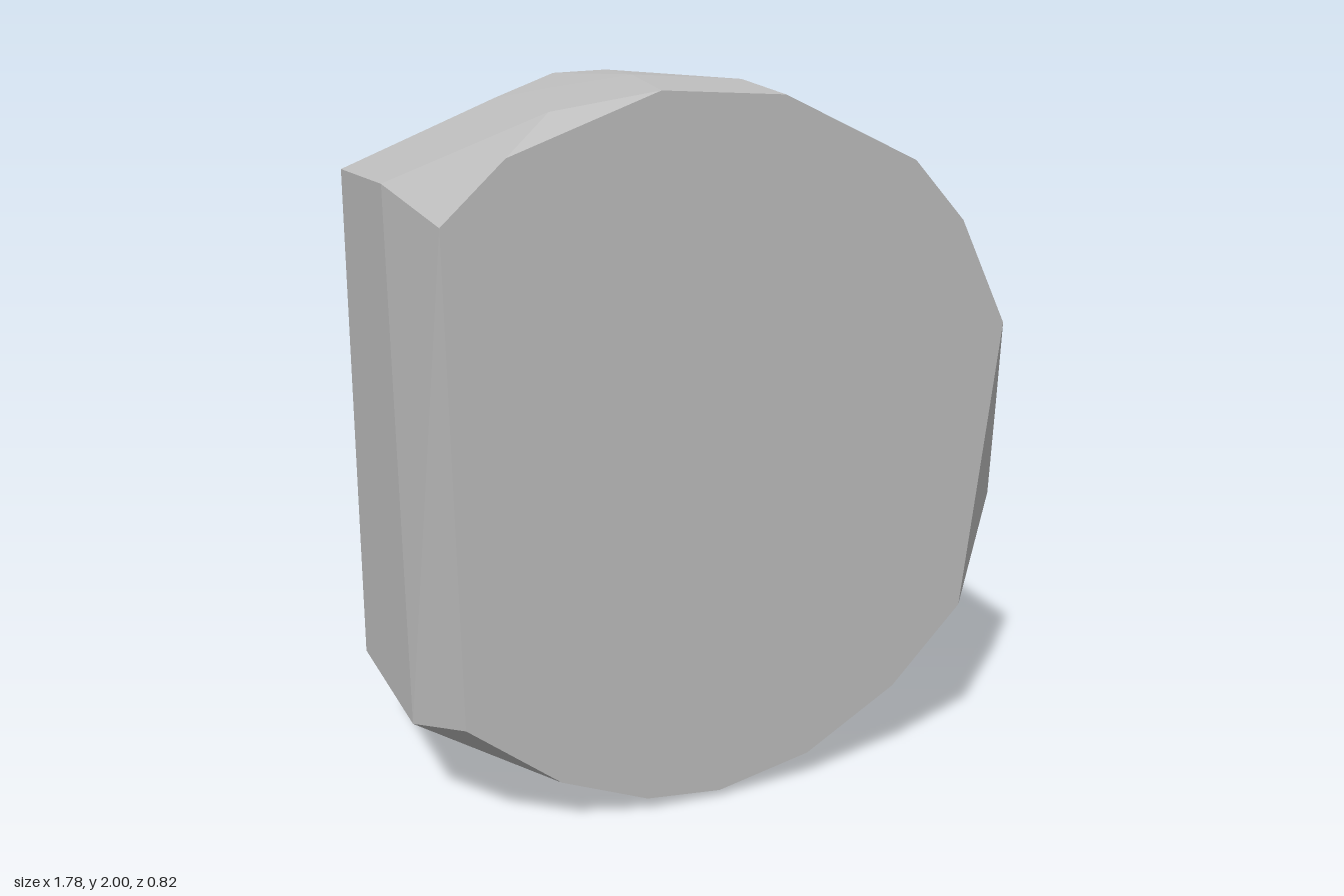
import * as THREE from 'three';
import { ConvexGeometry } from 'three/addons/geometries/ConvexGeometry.js';

const V = (x, y, z) => new THREE.Vector3(x, y, z);

export function createModel() {
  const group = new THREE.Group();
  const stone = new THREE.MeshStandardMaterial({ color: 0xbcbcbc });
  stone.name = 'stone grey';

  // Flat front face outline (x, y)
  const front = [
    [-0.83, 1.65], [-0.66, 1.81], [-0.25, 1.965], [0.1, 1.95], [0.5, 1.77],
    [0.66, 1.6], [0.81, 1.3], [0.7, 0.46], [0.48, 0.24], [0.2, 0.08],
    [-0.08, 0.02], [-0.3, 0.04], [-0.55, 0.14], [-0.81, 0.34],
  ].map(([x, y]) => V(x, y, 0.41));

  // Flat back face outline and the chipped bevel beside it
  const back = [
    V(-0.89, 1.73, -0.41), V(-0.89, 0.27, -0.41), V(-0.45, 0.06, -0.41),
    V(0.89, 1.04, -0.41), V(-0.25, 1.99, -0.41), V(0.36, 1.885, -0.385),
    V(0.84, 0.72, -0.35), V(0.66, 0.37, -0.32), V(0.06, 0.015, -0.29),
  ];

  // Front corners of the flat cut side, and the chip on the rounded side
  const chips = [
    V(-0.89, 1.73, 0.08), V(-0.89, 0.27, 0.16),
    V(0.87, 1.04, 0.31), V(0.855, 0.76, 0.31),
  ];

  // Irregular facet corners around the round rim: angle in degrees, z
  const rim = [
    [112, -0.24], [106, -0.04], [95, 0.08], [114, 0.32], [90, -0.34], [80, 0.22],
    [76, -0.2], [65, 0], [49.5, -0.22], [48, 0.06], [37, -0.14], [33, 0],
    [20, -0.26], [18, 0.03], [4.6, -0.1], [-3, -0.18], [-7, 0], [-18, -0.14],
    [-20, -0.06], [-31, -0.06], [-44.5, 0.15], [-46, -0.12], [-51, -0.09],
    [-62, 0.1], [-72, -0.1], [-82, 0.15], [-90, -0.05], [-104, 0.2], [-110, -0.1],
  ].map(([deg, z]) => {
    const a = THREE.MathUtils.degToRad(deg);
    return V(-0.11 + Math.cos(a), 1 + Math.sin(a), z);
  });

  // Faceted block spanning all the corners
  const body = new THREE.Mesh(new ConvexGeometry([...front, ...back, ...chips, ...rim]), stone);
  body.name = 'stoneBlock';
  group.add(body);
  return group;
}
